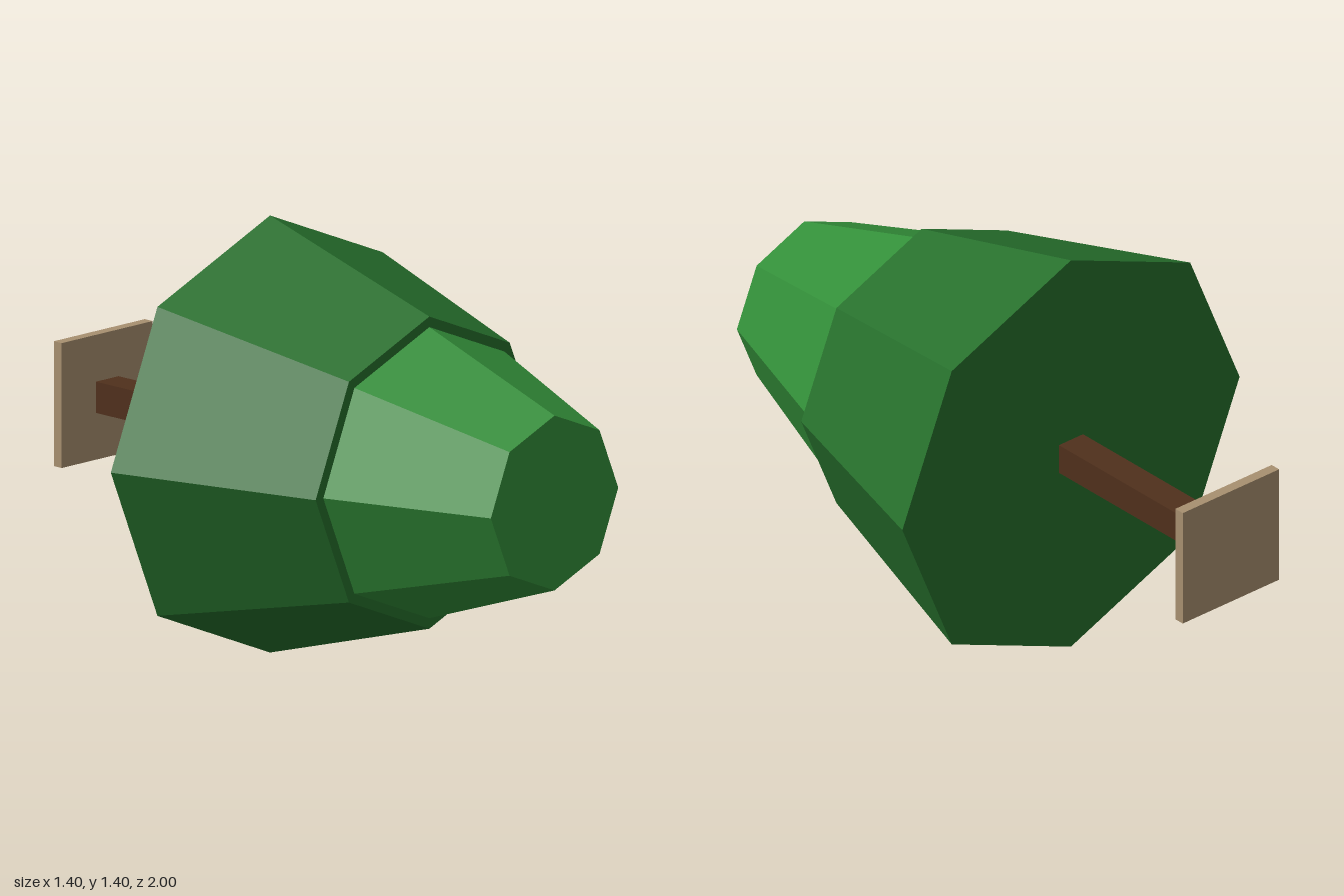
import * as THREE from 'three';

const AXIS_Y = 0.7; // height of the tree's horizontal axis

export function createModel() {
  const group = new THREE.Group();

  const add = (name, geometry, color, zBack, zFront) => {
    const material = new THREE.MeshStandardMaterial({ color, flatShading: true });
    const mesh = new THREE.Mesh(geometry, material);
    mesh.name = name;
    mesh.position.set(0, AXIS_Y, (zBack + zFront) / 2);
    group.add(mesh);
  };

  // Eight-sided foliage tier, narrowing towards +z
  const tier = (name, color, rBack, rFront, zBack, zFront) =>
    add(name, new THREE.CylinderGeometry(rFront, rBack, zFront - zBack, 8).rotateX(Math.PI / 2),
      color, zBack, zFront);

  // Square block centred on the axis
  const block = (name, color, size, zBack, zFront) =>
    add(name, new THREE.BoxGeometry(size, size, zFront - zBack), color, zBack, zFront);

  tier('lowerFoliage', 0x26702c, 0.7, 0.5, -0.25, 0.45);
  tier('upperFoliage', 0x338f39, 0.5, 0.28, 0.35, 1);
  block('trunk', 0x50301c, 0.1, -0.965, -0.2);
  block('basePlate', 0xa89070, 0.4, -1, -0.965);

  return group;
}
